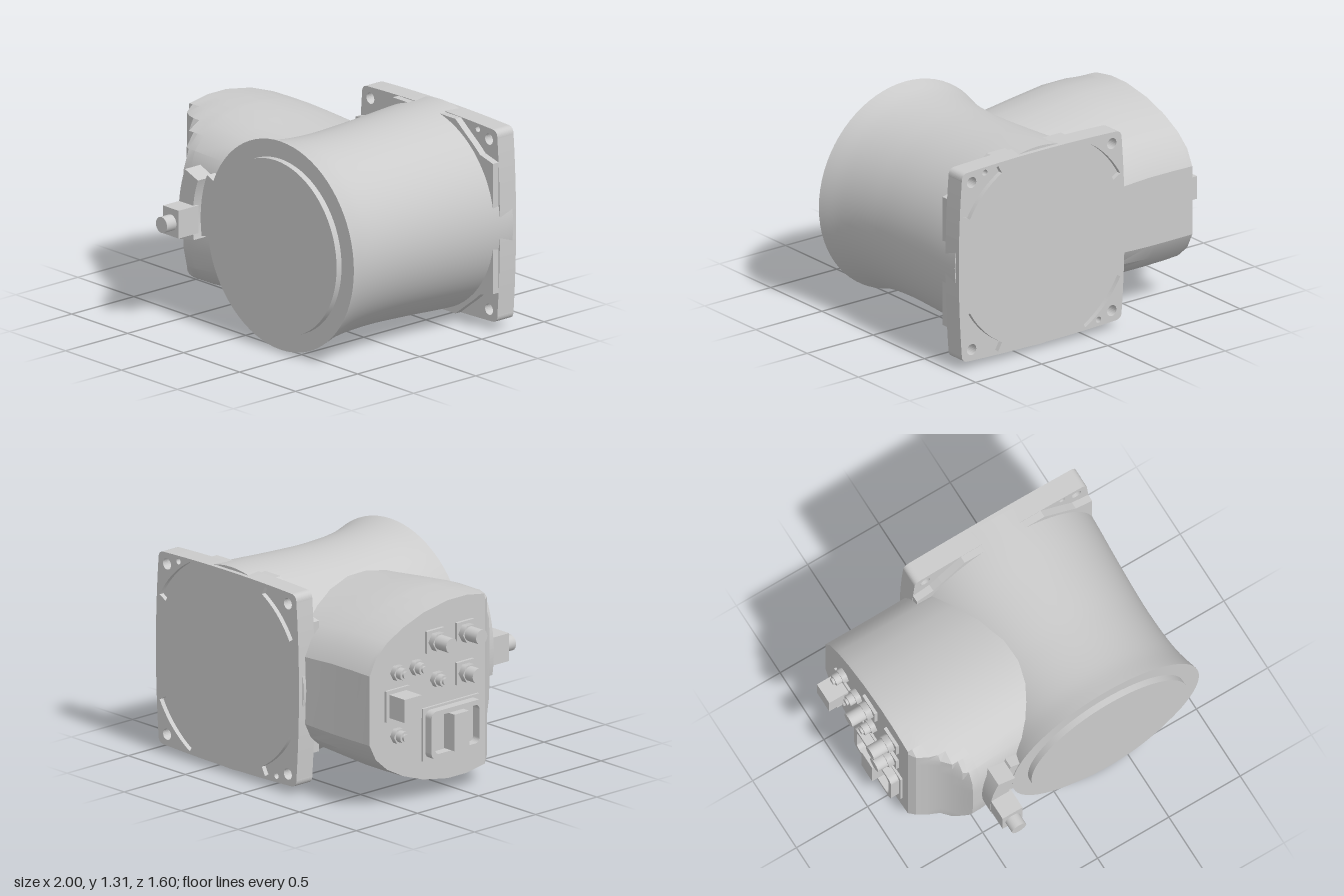
import * as THREE from 'three';
import { toCreasedNormals } from 'three/addons/utils/BufferGeometryUtils.js';

const CX = 0.345, CY = 0.655; // axis of the main body
const material = new THREE.MeshStandardMaterial({ color: 0xcccccc });

export function createModel() {
  const model = new THREE.Group();
  const add = (name, geometry, x = 0, y = 0, z = 0) => {
    const mesh = new THREE.Mesh(geometry, material);
    mesh.name = name;
    mesh.position.set(x, y, z);
    model.add(mesh);
    return mesh;
  };
  const box = (name, x0, x1, y0, y1, z0, z1) =>
    add(name, new THREE.BoxGeometry(x1 - x0, y1 - y0, z1 - z0), (x0 + x1) / 2, (y0 + y1) / 2, (z0 + z1) / 2);
  const slab = (name, shape, z0, z1) =>
    add(name, new THREE.ExtrudeGeometry(shape, { depth: z1 - z0, bevelEnabled: false, curveSegments: 12 }), CX, CY, z0);
  const ringSector = (r0, r1, a0, a1, Type = THREE.Shape) => {
    const s = new Type(), a = THREE.MathUtils.degToRad(a0), b = THREE.MathUtils.degToRad(a1);
    s.moveTo(r0 * Math.cos(a), r0 * Math.sin(a));
    s.lineTo(r1 * Math.cos(a), r1 * Math.sin(a));
    s.absarc(0, 0, r1, a, b, false);
    s.lineTo(r0 * Math.cos(b), r0 * Math.sin(b));
    s.absarc(0, 0, r0, b, a, true);
    return s;
  };

  // Waisted main body with a flared front rim
  const waist = new THREE.SplineCurve([
    [0.635, -0.77], [0.625, -0.55], [0.61, -0.3], [0.599, -0.05], [0.598, 0.1],
    [0.605, 0.26], [0.622, 0.4], [0.655, 0.53],
  ].map(p => new THREE.Vector2(...p))).getPoints(28);
  const profile = [new THREE.Vector2(0, -0.77), ...waist, new THREE.Vector2(0, 0.53)];
  const body = new THREE.LatheGeometry(profile, 72);
  body.rotateX(Math.PI / 2);
  add('mainBody', toCreasedNormals(body, 0.6), CX, CY, 0);
  const disc = new THREE.CylinderGeometry(0.545, 0.545, 0.06, 72);
  disc.rotateX(Math.PI / 2);
  add('frontDisc', disc, CX, CY, 0.54);

  // Mounting plate: bulged outline, bolt holes and arc slots at the back
  const plateShape = slots => {
    const s = new THREE.Shape();
    const w = 0.605, h = 0.605, r = 0.05;
    s.moveTo(-w + r, -h);
    s.quadraticCurveTo(0, -h - 0.025, w - r, -h);
    s.quadraticCurveTo(w, -h, w, -h + r);
    s.quadraticCurveTo(w + 0.045, 0, w, h - r);
    s.quadraticCurveTo(w, h, w - r, h);
    s.quadraticCurveTo(0, h + 0.025, -w + r, h);
    s.quadraticCurveTo(-w, h, -w, h - r);
    s.quadraticCurveTo(-w - 0.045, 0, -w, -h + r);
    s.quadraticCurveTo(-w, -h, -w + r, -h);
    const holes = [[0.43, 0.575, 0.019], [-0.43, -0.57, 0.019]];
    for (const i of [-1, 1]) for (const j of [-1, 1]) holes.push([i * 0.53, j * 0.535, 0.035]);
    for (const [x, y, rad] of holes) s.holes.push(new THREE.Path().absarc(x, y, rad, 0, Math.PI * 2));
    if (slots) for (let a = 0; a < 360; a += 90) s.holes.push(ringSector(0.62, 0.68, a + 29, a + 61, THREE.Path));
    return s;
  };
  slab('plate', plateShape(false), -0.77, -0.67);
  slab('plateBack', plateShape(true), -0.8, -0.77);

  // Raised front layer of the plate, cut back at the four corners
  const corner = [[0.615, 0.41], [0.5, 0.44], [0.44, 0.49], [0.36, 0.55], [0.28, 0.612]];
  const flip = (sx, sy) => corner.map(([x, y]) => new THREE.Vector2(x * sx, y * sy));
  slab('plateFront', new THREE.Shape([
    ...flip(1, 1), ...flip(-1, 1).reverse(), ...flip(-1, -1), ...flip(1, -1).reverse(),
  ]), -0.67, -0.625);

  // Side housing: one section swept along x, with a concave scoop at the front
  const half = [
    [-0.74, 0.22], [-0.69, 0.32], [-0.6, 0.4], [-0.47, 0.47], [-0.3, 0.53], [-0.1, 0.565], [0.05, 0.565],
    [0.2, 0.54], [0.3, 0.5], [0.38, 0.45], [0.45, 0.37], [0.49, 0.25], [0.495, 0.1],
  ];
  const section = [...half, ...half.map(([z, d]) => [z, -d]).reverse()];
  // x, height scale, front limit
  const stations = [
    [-0.84, 0.99, 0.2], [-0.81, 0.993, 0.245], [-0.75, 0.995, 0.28], [-0.69, 1, 0.325], [-0.64, 1, 0.38],
    [-0.6, 1, 0.435], [-0.565, 1, 0.5], [-0.51, 1, 1], [-0.27, 0.955, 1], [-0.05, 0.91, 1], [0.25, 0.87, 1],
  ];
  const pos = [], index = [], n = section.length;
  for (const [x, k, limit] of stations)
    for (const [z, d] of section) pos.push(x, CY + d * k, Math.min(z > 0 ? z * k : z - (1 - k) * 0.15, limit));
  for (let s = 0; s < stations.length - 1; s++) {
    for (let i = 0; i < n; i++) {
      const a = s * n + i, b = s * n + (i + 1) % n;
      index.push(a, b, a + n, b, b + n, a + n);
    }
  }
  pos.push(-0.84, CY, -0.25);
  for (let i = 0; i < n; i++) index.push(pos.length / 3 - 1, (i + 1) % n, i);
  const housing = new THREE.BufferGeometry();
  housing.setAttribute('position', new THREE.Float32BufferAttribute(pos, 3));
  housing.setIndex(index);
  add('sideHousing', toCreasedNormals(housing, 0.4));

  // Curved bracket and plug on the front of the housing
  slab('plugBracket', ringSector(0.72, 0.845, 159, 190), 0.38, 0.59);
  slab('bracketWeb', ringSector(0.6, 0.72, 157, 189), 0.38, 0.525);
  box('plugBody', -0.495, -0.355, 0.57, 0.745, 0.56, 0.72);
  const tip = new THREE.CylinderGeometry(0.05, 0.05, 0.1, 24);
  tip.rotateX(Math.PI / 2);
  add('plugTip', tip, -0.425, CY, 0.745);

  // Sockets on the end face: a hexagonal nut and a stepped barrel
  const barrel = (name, r, sides, x0, x1, y, z) => {
    const g = new THREE.CylinderGeometry(r, r, x1 - x0, sides);
    g.rotateZ(Math.PI / 2);
    add(name, g, (x0 + x1) / 2, y, z);
  };
  const large = [[0.99, 0.025, -1], [0.99, -0.22, -1], [0.74, 0.025, -0.97]];
  for (const [y, z, end] of large) {
    box('socketBase', -0.86, -0.83, y - 0.07, y + 0.07, z - 0.07, z + 0.07);
    barrel('socketNut', 0.06, 6, -0.9, -0.83, y, z);
    barrel('socketBarrel', 0.046, 20, end, -0.83, y, z);
  }
  for (const [y, z] of [[0.855, -0.525], [0.855, -0.37], [0.745, -0.2], [0.46, -0.525]]) {
    barrel('smallNut', 0.05, 6, -0.875, -0.83, y, z);
    barrel('smallBarrel', 0.036, 16, -0.915, -0.83, y, z);
    barrel('smallTip', 0.022, 12, -0.93, -0.83, y, z);
  }
  box('squareSocketBase', -0.855, -0.83, 0.56, 0.755, -0.62, -0.43);
  box('squareSocket', -0.99, -0.83, 0.585, 0.73, -0.595, -0.455);

  // Wide socket with a rounded rim around its core
  const rim = new THREE.Shape();
  const roundRect = (s, w, h, r) => {
    s.absarc(w - r, h - r, r, 0, Math.PI / 2);
    s.absarc(r - w, h - r, r, Math.PI / 2, Math.PI);
    s.absarc(r - w, r - h, r, Math.PI, Math.PI * 1.5);
    s.absarc(w - r, r - h, r, Math.PI * 1.5, Math.PI * 2);
    s.closePath();
    return s;
  };
  roundRect(rim, 0.21, 0.15, 0.04);
  rim.holes.push(roundRect(new THREE.Path(), 0.18, 0.12, 0.03));
  const rimGeometry = new THREE.ExtrudeGeometry(rim, { depth: 0.075, bevelEnabled: false, curveSegments: 5 });
  rimGeometry.rotateY(-Math.PI / 2);
  add('wideSocketRim', rimGeometry, -0.835, 0.415, -0.09);
  box('wideSocketBase', -0.855, -0.83, 0.25, 0.58, -0.32, 0.14);
  box('wideSocketCore', -0.95, -0.83, 0.3, 0.53, -0.15, -0.03);
  return model;
}
